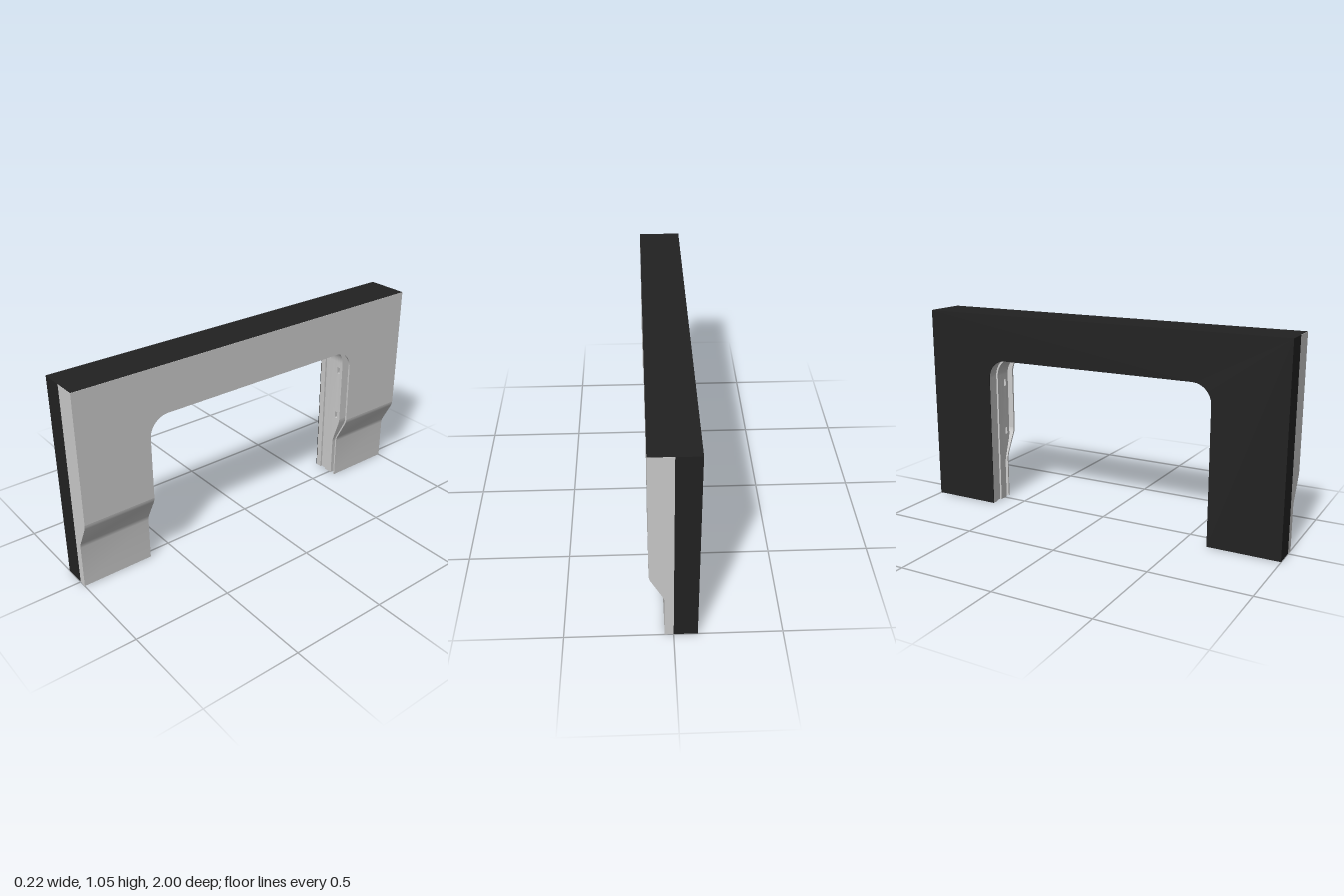
import * as THREE from 'three';
import { toCreasedNormals } from 'three/addons/utils/BufferGeometryUtils.js';

const grey = new THREE.MeshStandardMaterial({ color: 0xcccccc });
const dark = new THREE.MeshStandardMaterial({ color: 0x222222 });

const Y0 = 0.001, TOP = 1.046;              // body bottom and top
const OPEN_W = 0.63, OPEN_H = 0.805, R = 0.1; // opening half width, height, corner
const BEND = 0.385, BODY_BEND = 0.365;      // where the legs start to narrow

// Points up one side of the opening, over the top and down the other,
// optionally with small square pockets cut into the edge.
function openingPath(inset, y0, pockets) {
  const w = OPEN_W + inset, h = OPEN_H + inset, r = R + inset;
  const s = 0.018, d = 0.025, side = [[w, y0]], top = [];
  if (pockets) {
    for (const y of [0.385, 0.657])
      side.push([w, y - s], [w + d, y - s], [w + d, y + s], [w, y + s]);
    for (const z of [0.33, 0, -0.33])
      top.push([z + s, h], [z + s, h + d], [z - s, h + d], [z - s, h]);
  }
  for (let i = 0; i <= 12; i++) {
    const a = (i / 12) * Math.PI / 2;
    side.push([w - r + r * Math.cos(a), h - r + r * Math.sin(a)]);
  }
  const mirrored = side.map(([x, y]) => [-x, y]).reverse();
  return [...side, ...top, ...mirrored];
}

function extrude(points, depth) {
  const shape = new THREE.Shape(points.map(p => new THREE.Vector2(...p)));
  return new THREE.ExtrudeGeometry(shape, { depth, bevelEnabled: false });
}

function add(group, name, geometry, material) {
  const mesh = new THREE.Mesh(toCreasedNormals(geometry, 0.5), material);
  mesh.name = name;
  group.add(mesh);
}

// Arch slab between x0 and x1; "rim" limits it to a band around the opening.
function arch(group, name, material, x0, x1, { inset = 0, y0 = Y0, rim = 0, pockets = false } = {}) {
  const outer = rim
    ? openingPath(rim, y0).reverse()
    : [[-1, y0], [-1, TOP], [1, TOP], [1, y0]];
  const geometry = extrude([...openingPath(inset, y0, pockets), ...outer], x1 - x0);
  add(group, name, geometry.rotateY(Math.PI / 2).translate(x0, 0, 0), material);
}

// Soft S-bend from the narrow foot to the full width.
function bend(xFoot, xTop, yTop) {
  const d = xTop - xFoot;
  return [[xFoot, Y0], [xFoot, yTop - 0.162], [xFoot + 0.02 * d, yTop - 0.152],
    [xFoot + 0.09 * d, yTop - 0.136], [xTop - 0.08 * d, yTop - 0.024],
    [xTop - 0.02 * d, yTop - 0.01], [xTop, yTop]];
}

// Pair of lower legs with a given x/y section.
function legs(group, name, inner, outer, inset) {
  const length = 1 - OPEN_W - inset;
  for (const z of [OPEN_W + inset, -1])
    add(group, name, extrude([...outer, ...[...inner].reverse()], length).translate(0, 0, z), grey);
}

export function createModel() {
  const model = new THREE.Group();
  model.name = 'archFrame';

  // Dark half
  arch(model, 'darkCover', dark, -0.11, -0.107);
  arch(model, 'darkBody', dark, -0.107, 0, { inset: 0.04 });

  // Stepped lining around the opening
  for (const [x0, x1, inset] of [[-0.107, -0.075, 0], [-0.075, -0.036, 0.01], [-0.036, 0, 0]])
    arch(model, 'openingLining', grey, x0, x1, { inset, rim: 0.04 });

  // Grey half, upper part: pocketed land, deep channel and thin outer panel
  arch(model, 'innerLand', grey, 0, 0.02, { y0: BODY_BEND });
  arch(model, 'pocketBand', grey, 0.02, 0.037, { y0: BODY_BEND, pockets: true });
  arch(model, 'innerLandEdge', grey, 0.037, 0.056, { y0: BODY_BEND });
  arch(model, 'channelCore', grey, 0, 0.1, { inset: 0.08, y0: BEND });
  arch(model, 'outerPanel', grey, 0.1, 0.11, { y0: BEND });

  // Grey half, bent lower legs
  const back = [[0, Y0], [0, BODY_BEND]], backTall = [[0, Y0], [0, BEND]];
  const panelInside = bend(0.033, 0.1, BEND);
  legs(model, 'innerLandLeg', back, bend(0.012, 0.056, BODY_BEND), 0);
  legs(model, 'channelCoreLeg', backTall, panelInside, 0.08);
  legs(model, 'outerPanelLeg', panelInside, bend(0.041, 0.11, BEND), 0);

  // Dark top and foot faces
  const face = (name, x0, x1, z0, z1, y, turn) => add(model, name,
    new THREE.PlaneGeometry(x1 - x0, z1 - z0).rotateX(turn)
      .translate((x0 + x1) / 2, y, (z0 + z1) / 2), dark);
  face('topFace', -0.11, 0.11, -1, 1, TOP + 0.001, -Math.PI / 2);
  for (const [x0, x1, z] of [[-0.11, 0.012, OPEN_W], [0.012, 0.033, OPEN_W + 0.08], [0.033, 0.041, OPEN_W]]) {
    face('footFace', x0, x1, z, 1, 0, Math.PI / 2);
    face('footFace', x0, x1, -1, -z, 0, Math.PI / 2);
  }
  return model;
}
